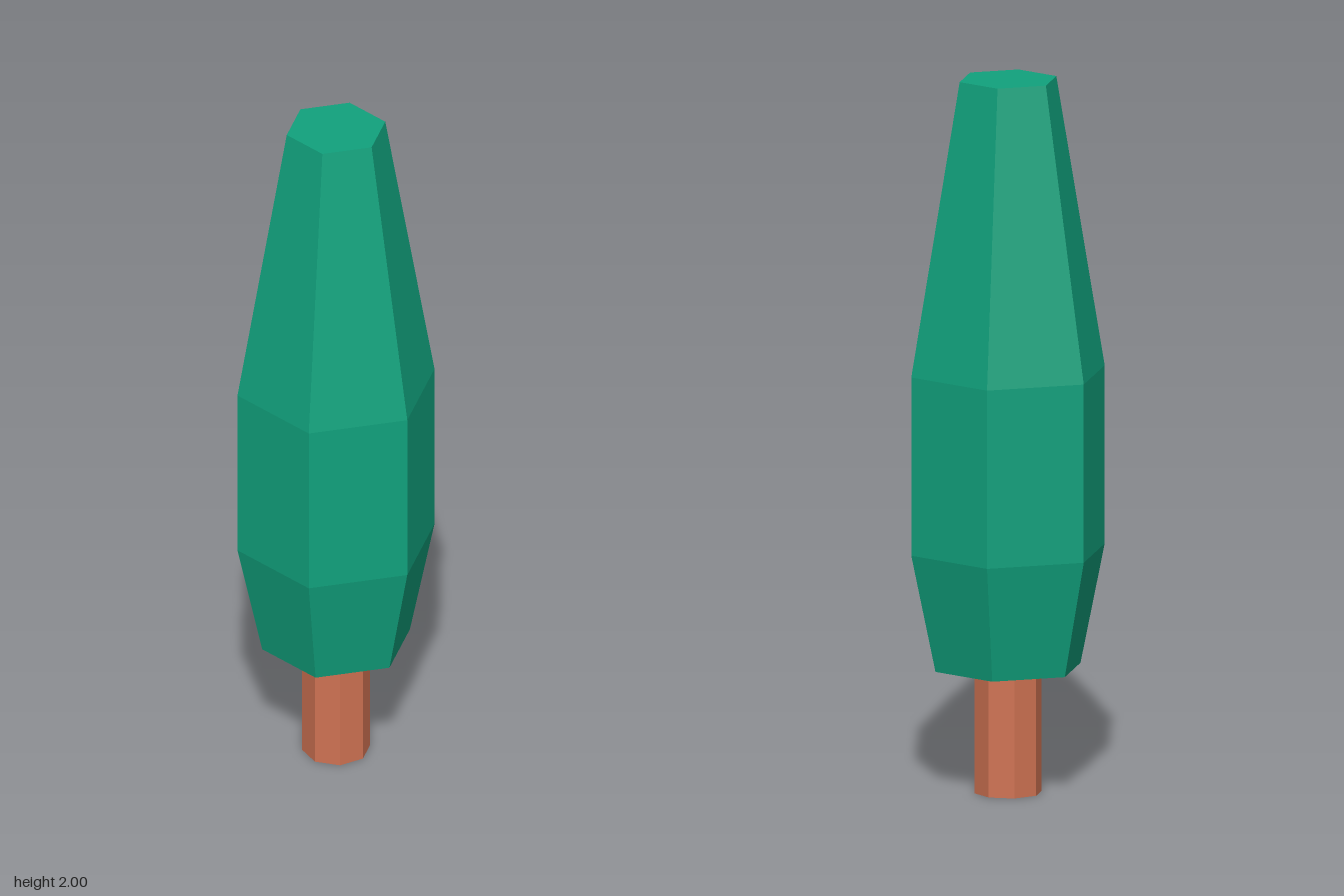
import * as THREE from 'three';

export function createModel() {
  const group = new THREE.Group();
  const add = (name, geometry, color) => {
    const material = new THREE.MeshStandardMaterial({ color, flatShading: true });
    const mesh = new THREE.Mesh(geometry, material);
    mesh.name = name;
    group.add(mesh);
    return mesh;
  };

  // Octagonal trunk with a flat side facing the front
  const trunk = new THREE.CylinderGeometry(0.094, 0.094, 0.35, 8);
  trunk.rotateY(Math.PI / 8);
  trunk.translate(0, 0.175, 0);
  add('trunk', trunk, 0xd07353);

  // Six-sided foliage, closed at the bottom and the top, with a corner at the front
  const profile = [
    [0, 0.35], [0.21, 0.35], [0.28, 0.68], [0.28, 1.18], [0.14, 2], [0, 2],
  ].map(([r, y]) => new THREE.Vector2(r, y));
  add('foliage', new THREE.LatheGeometry(profile, 6), 0x11a27d);

  return group;
}
